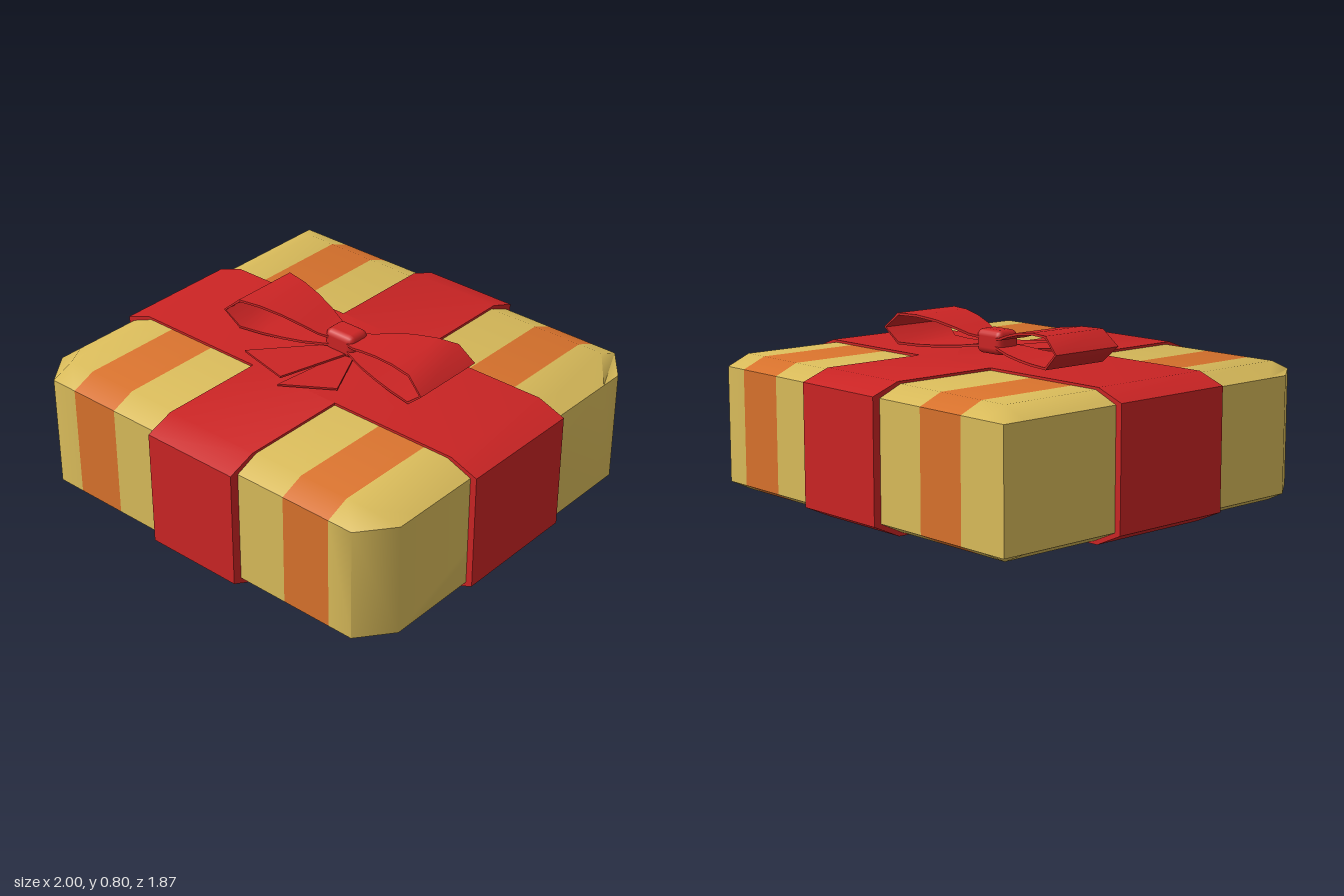
import * as THREE from 'three';
import { toCreasedNormals } from 'three/addons/utils/BufferGeometryUtils.js';
import { RoundedBoxGeometry } from 'three/addons/geometries/RoundedBoxGeometry.js';

const paperYellow = new THREE.MeshStandardMaterial({ color: 0xd9bb5a, name: 'paper yellow' });
const stripeOrange = new THREE.MeshStandardMaterial({ color: 0xd8722c, name: 'stripe orange' });
const ribbonRed = new THREE.MeshStandardMaterial({ color: 0xcb2424, name: 'ribbon red' });

// Skin a list of closed sections, cap both ends; segment i gets material index mats[i].
function loft(sections, mats = [], crease = 0.96) {
  const n = sections[0].length, last = sections.length - 1;
  const index = [];
  const geo = new THREE.BufferGeometry();
  for (let i = 0; i < last; i++) {
    const start = index.length, a = i * n, b = a + n;
    if (i === 0) for (let j = 1; j < n - 1; j++) index.push(0, j + 1, j);
    for (let j = 0; j < n; j++) {
      const k = (j + 1) % n;
      index.push(a + j, a + k, b + k, a + j, b + k, b + j);
    }
    if (i === last - 1) for (let j = 1; j < n - 1; j++) index.push(b, b + j, b + j + 1);
    geo.addGroup(start, index.length - start, mats[i] || 0);
  }
  geo.setAttribute('position', new THREE.Float32BufferAttribute(sections.flat(2), 3));
  geo.setIndex(index);
  return toCreasedNormals(geo, crease);
}

function addMesh(parent, name, geometry, material) {
  const mesh = new THREE.Mesh(geometry, material);
  mesh.name = name;
  parent.add(mesh);
  return mesh;
}

// Bevelled slice of the box at x
function boxSection(x, zBack, zFront, isEnd) {
  const inset = 0.11, hi = 0.59, lo = 0.068;
  const top = isEnd ? hi : 0.637, bottom = isEnd ? lo : 0.015;
  return [
    [x, top, zBack + inset], [x, top, zFront - inset],
    [x, hi, zFront], [x, lo, zFront],
    [x, bottom, zFront - inset], [x, bottom, zBack + inset],
    [x, lo, zBack], [x, hi, zBack],
  ];
}

// Bevelled band outline, extruded to the ribbon width
function bandGeometry(half, width) {
  const inner = half - 0.13;
  const shape = new THREE.Shape([
    [-inner, 0], [inner, 0], [half, 0.06], [half, 0.6],
    [inner, 0.648], [-inner, 0.648], [-half, 0.6], [-half, 0.06],
  ].map(p => new THREE.Vector2(...p)));
  const geo = new THREE.ExtrudeGeometry(shape, { depth: width, bevelEnabled: false });
  return toCreasedNormals(geo.translate(0, 0, -width / 2), 0.9);
}

// One flared bow loop: a thin strip swept round a side profile
function bowLoop(side) {
  const path = [
    [0.05, 0.732], [0.1, 0.74], [0.17, 0.762], [0.27, 0.786], [0.38, 0.8], [0.485, 0.8],
    [0.563, 0.732], [0.485, 0.662], [0.37, 0.662], [0.27, 0.667], [0.17, 0.675],
    [0.1, 0.685], [0.05, 0.69],
  ];
  const thick = 0.011;
  const sections = path.map(([u, y], i) => {
    const p = path[Math.max(i - 1, 0)], q = path[Math.min(i + 1, path.length - 1)];
    const dx = q[0] - p[0], dy = q[1] - p[1], len = Math.hypot(dx, dy);
    const nx = -dy / len, ny = dx / len;
    const t = Math.max(0, (u - 0.06) / 0.5);
    const h = 0.06 + 0.122 * Math.pow(t, 0.75);
    const at = (o, z) => [0.01 + side * (u + nx * o), y + ny * o, -0.05 + z];
    return [at(0.003, -h), at(0.003, h), at(0.003 - thick, h), at(0.003 - thick, -h)];
  });
  return loft(side > 0 ? sections : sections.reverse(), [], 0.87);
}

// Flat ribbon end lying on the box
function tailGeometry(points, y) {
  const shape = new THREE.Shape(points.map(p => new THREE.Vector2(...p)));
  const geo = new THREE.ExtrudeGeometry(shape, { depth: 0.009, bevelEnabled: false });
  return geo.rotateX(Math.PI / 2).translate(0, y, 0);
}

export function createModel() {
  const gift = new THREE.Group();
  gift.name = 'giftBox';

  // Wrapped box: three clipped corners, one square corner, two orange stripes
  const b = -0.9, f = 0.893;
  const sections = [
    boxSection(-0.97, b, 0.74, true),
    boxSection(-0.855, b, f),
    ...[-0.722, -0.477, 0.49, 0.73].map(x => boxSection(x, b, f)),
    boxSection(0.85, b, f),
    boxSection(0.97, -0.75, 0.74, true),
  ];
  addMesh(gift, 'wrappedBox', loft(sections, [0, 0, 1, 0, 1, 0, 0]), [paperYellow, stripeOrange]);

  // Crossed ribbons
  addMesh(gift, 'ribbonSideToSide', bandGeometry(1, 0.6), ribbonRed);
  const lengthwise = addMesh(gift, 'ribbonFrontToBack', bandGeometry(0.935, 0.47), ribbonRed);
  lengthwise.rotation.y = Math.PI / 2;
  lengthwise.position.x = 0.011;

  // Bow
  const bow = new THREE.Group();
  bow.name = 'bow';
  gift.add(bow);
  addMesh(bow, 'leftLoop', bowLoop(1), ribbonRed);
  addMesh(bow, 'rightLoop', bowLoop(-1), ribbonRed);
  const knot = addMesh(bow, 'knot', new RoundedBoxGeometry(0.16, 0.11, 0.12, 2, 0.03), ribbonRed);
  knot.position.set(0.01, 0.712, -0.05);
  addMesh(bow, 'rightTail', tailGeometry([[-0.05, -0.02], [-0.3, 0.27], [-0.035, 0.33], [0.06, -0.02]], 0.68), ribbonRed);
  addMesh(bow, 'leftTail', tailGeometry([[0.03, -0.02], [-0.015, 0.37], [0.2, 0.23], [0.08, -0.02]], 0.668), ribbonRed);

  return gift;
}
